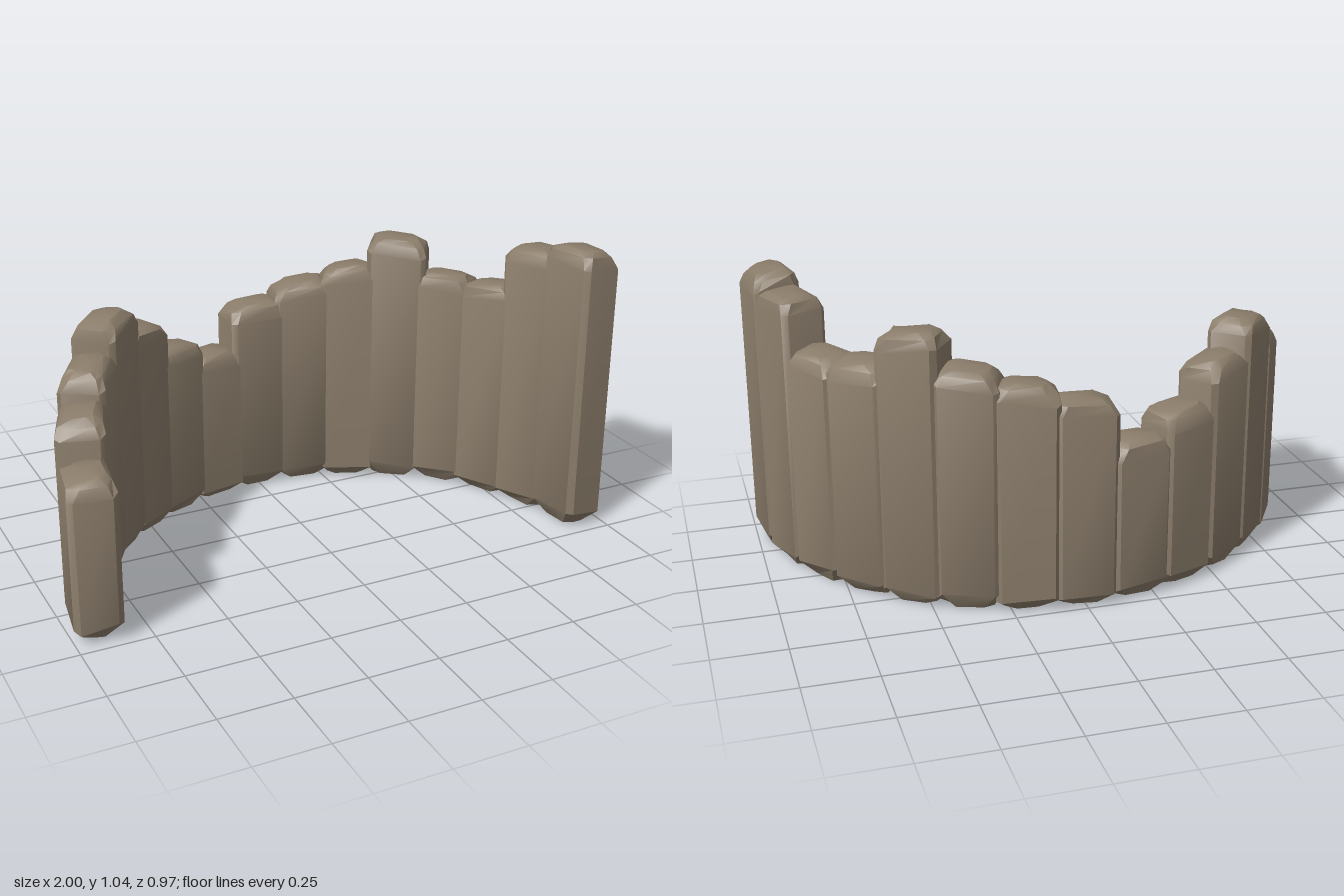
import * as THREE from 'three';
import { toCreasedNormals } from 'three/addons/utils/BufferGeometryUtils.js';

// Each stone along the arc: [height, top slope along the arc, top slope outward]
const STONES = [
  [0.56, 0.00, -0.10], [0.685, 0.05, -0.10], [0.77, 0.10, -0.05], [0.87, 0.06, -0.05], [0.77, -0.08, 0.00],
  [0.64, -0.05, -0.05], [0.57, -0.02, 0.00], [0.73, 0.06, 0.00], [0.79, 0.10, 0.00], [0.84, 0.12, -0.05],
  [0.95, -0.08, 0.00], [0.83, -0.04, -0.10], [0.82, 0.05, -0.08], [0.985, 0.00, -0.05], [1.03, 0.00, -0.16],
];
const STEP = THREE.MathUtils.degToRad(11.6);
const INNER = 0.832, OUTER = 0.999, CENTRE_Z = 0.5;

function seeded(seed) {
  let s = seed * 7919 + 17;
  for (let i = 0; i < 3; i++) s = (s * 16807) % 2147483647;
  return () => (s = (s * 16807) % 2147483647) / 2147483647 - 0.5;
}

// Rectangle with cut corners, counter-clockwise in (along arc, radius)
function outline(inset, cut) {
  const w = 0.112 - inset, lo = INNER + inset * 0.8, hi = OUTER - inset * 0.8;
  return [
    [-w + cut, lo], [w - cut, lo], [w, lo + cut], [w, hi - cut],
    [w - cut, hi], [-w + cut, hi], [-w, hi - cut], [-w, lo + cut],
  ];
}

// Lofts one worn upright stone through five rings
function stoneGeometry(angle, [height, slopeT, slopeR], seed) {
  const rnd = seeded(seed);
  const sin = Math.sin(angle), cos = Math.cos(angle);
  const levels = [
    { y: 0.0, inset: 0.04, cut: 0.03, wobble: 0.016 },
    { y: 0.05, inset: 0.003, cut: 0.02, wobble: 0.03 },
    { y: height - 0.055, inset: 0.003, cut: 0.018, wobble: 0.02, top: 1 },
    { y: height - 0.018, inset: 0.018, cut: 0.025, wobble: 0.01, top: 1 },
    { y: height, inset: 0.045, cut: 0.025, wobble: 0.006, top: 1 },
  ];
  const points = [], index = [];
  const add = (t, r, y) => points.push(sin * r + cos * t, Math.max(0, y), CENTRE_Z - cos * r + sin * t);
  for (const { y, inset, cut, wobble, top } of levels) {
    for (const [t, r] of outline(inset, cut)) {
      const tilt = top ? slopeT * t + slopeR * (r - (INNER + OUTER) / 2) : 0;
      const shift = inset > 0.01 ? 0.018 : 0;
      add(t + rnd() * shift, r + rnd() * shift * 0.7, y + tilt + rnd() * wobble);
    }
  }
  const mid = (INNER + OUTER) / 2;
  add(0, mid, 0);
  add(0, mid, height + 0.004);
  const n = 8, last = (levels.length - 1) * n, base = levels.length * n;
  for (let j = 0; j < n; j++) {
    const k = (j + 1) % n;
    for (let i = 0; i < last; i += n) {
      index.push(i + j, i + k, i + n + k, i + j, i + n + k, i + n + j);
    }
    index.push(base, k, j, base + 1, last + j, last + k);
  }
  const geometry = new THREE.BufferGeometry();
  geometry.setAttribute('position', new THREE.Float32BufferAttribute(points, 3));
  geometry.setIndex(index);
  return toCreasedNormals(geometry, 0.6);
}

export function createModel() {
  const group = new THREE.Group();
  group.name = 'curvedStoneWall';
  const stone = new THREE.MeshStandardMaterial({ color: 0x8a7c6a });
  stone.name = 'brown stone';

  // Row of upright stones around a half circle, open to the front
  STONES.forEach((spec, i) => {
    const angle = (i - (STONES.length - 1) / 2) * STEP;
    const mesh = new THREE.Mesh(stoneGeometry(angle, spec, i + 1), stone);
    mesh.name = `uprightStone${i + 1}`;
    group.add(mesh);
  });
  return group;
}
